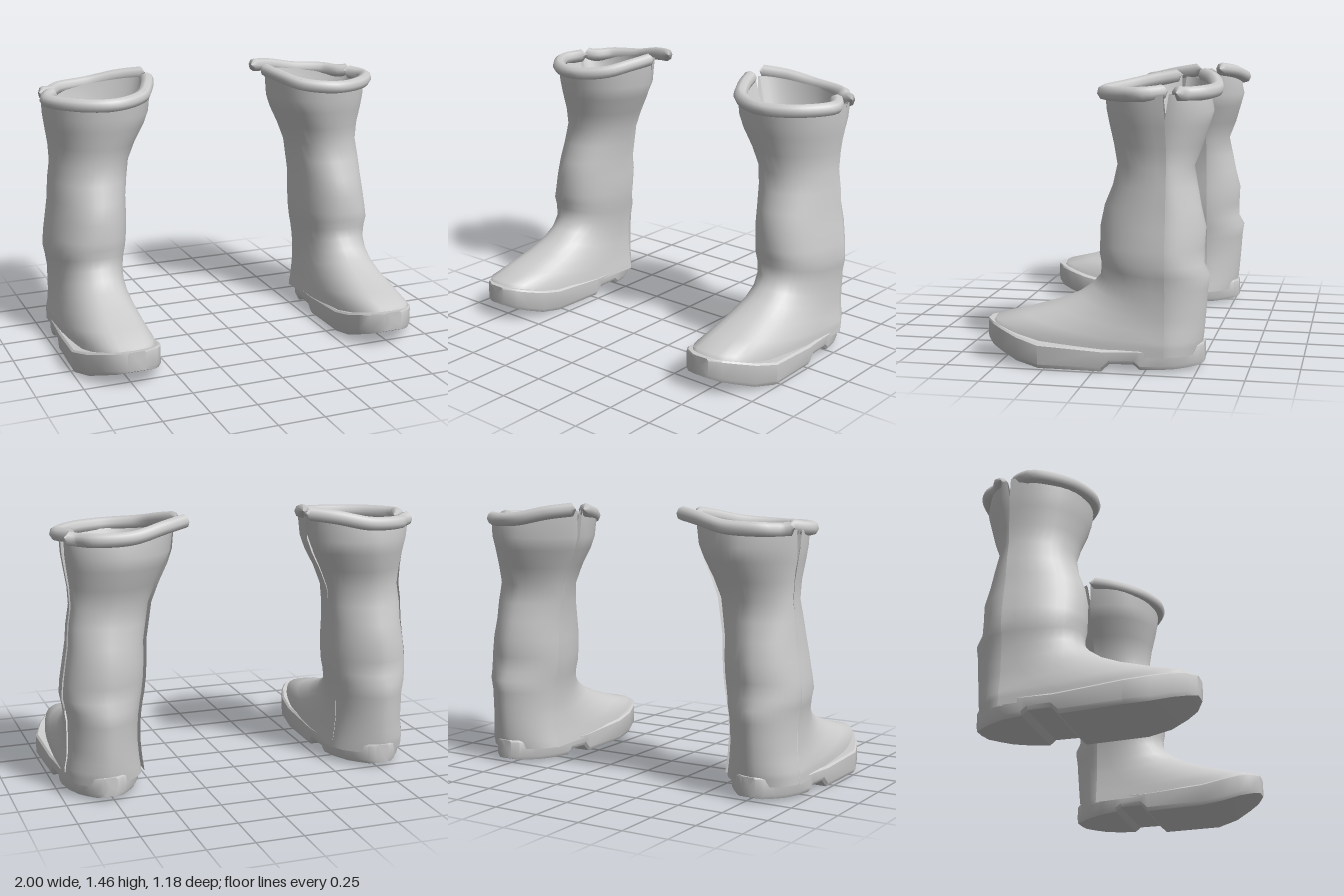
import * as THREE from 'three';
import { toCreasedNormals } from 'three/addons/utils/BufferGeometryUtils.js';

const leather = new THREE.MeshStandardMaterial({ color: 0xcccccc, side: THREE.DoubleSide });
leather.name = 'light grey leather';

// Upper, bottom to top: [y at back, y at front, z front, z back, x inner, x outer, squareness of front]
const UPPER = [
  [0.08, 0.165, 0.57, -0.505, 0.55, 0.965, 3.2],
  [0.12, 0.215, 0.55, -0.515, 0.555, 0.965, 3.2],
  [0.15, 0.25, 0.4, -0.52, 0.56, 0.965, 3.1],
  [0.2, 0.3, 0.24, -0.525, 0.565, 0.955, 2.8],
  [0.26, 0.35, 0.12, -0.53, 0.57, 0.95, 2.5],
  [0.32, 0.4, 0.05, -0.535, 0.57, 0.95, 2.3],
  [0.4, 0.45, 0.005, -0.54, 0.565, 0.95, 2.3],
  [0.47, 0.51, 0, -0.55, 0.555, 0.96, 2.3],
  [0.52, 0.56, 0.01, -0.52, 0.545, 0.97, 2.3],
  [0.6, 0.6, 0.01, -0.52, 0.535, 0.965, 2.2],
  [0.7, 0.7, 0.01, -0.525, 0.53, 0.95, 2.1],
  [0.8, 0.8, -0.01, -0.5, 0.53, 0.935, 2.1],
  [0.9, 0.9, -0.05, -0.48, 0.515, 0.93, 2.1],
  [1, 1, -0.07, -0.46, 0.5, 0.915, 2.1],
  [1.1, 1.1, -0.05, -0.5, 0.46, 0.92, 2.1],
  [1.2, 1.2, -0.025, -0.53, 0.41, 0.935, 2.2],
  [1.27, 1.27, -0.01, -0.55, 0.385, 0.945, 2.2],
  [1.36, 1.36, 0, -0.53, 0.37, 0.95, 2.2],
];

// Lining: the shaft rows drawn inwards, meeting the upper at the top
const LINING = UPPER.slice(5).map(([yb, yf, zf, zb, xi, xo, nf]) => {
  const inset = yb > 1.3 ? 0.012 : 0.04;
  return [yb, yf, zf - inset, zb + inset, xi + inset, xo - inset, nf];
});

// Sole, heel to toe: [z, x inner, x outer, y top, y bottom]
const SOLE = [
  [-0.525, 0.735, 0.81, 0.13, 0.03], [-0.5, 0.695, 0.848, 0.13, 0.02],
  [-0.45, 0.65, 0.89, 0.13, 0.017], [-0.4, 0.61, 0.925, 0.125, 0.015],
  [-0.32, 0.57, 0.96, 0.12, 0.015], [-0.23, 0.545, 0.975, 0.115, 0.015],
  [-0.2, 0.545, 0.975, 0.115, 0.04], [-0.08, 0.54, 0.98, 0.11, 0.04],
  [-0.04, 0.54, 0.985, 0.11, 0], [0.28, 0.54, 0.998, 0.13, 0.005],
  [0.4, 0.55, 0.955, 0.155, 0.025], [0.49, 0.58, 0.9, 0.18, 0.055],
  [0.55, 0.62, 0.85, 0.195, 0.075], [0.59, 0.69, 0.79, 0.2, 0.095],
];

// Rolled cuff, in two pieces with a slit at each side
const CUFFS = {
  frontCuff: [[0.35, 1.425, -0.345], [0.4, 1.4, -0.2], [0.48, 1.37, -0.07], [0.65, 1.355, 0.005],
    [0.83, 1.355, -0.06], [0.95, 1.36, -0.22], [0.93, 1.365, -0.29], [0.88, 1.375, -0.35]],
  backCuff: [[0.325, 1.43, -0.445], [0.47, 1.41, -0.515], [0.64, 1.375, -0.555],
    [0.82, 1.365, -0.515], [0.89, 1.36, -0.43], [0.95, 1.37, -0.4]],
};

// Surface through rows of points; side -1 mirrors it in x
function loft(rows, side) {
  const pos = rows.flat().flatMap(([x, y, z]) => [side * x, y, z]);
  const n = rows[0].length, index = [];
  for (let r = 0; r < rows.length - 1; r++) {
    for (let c = 0; c < n - 1; c++) {
      const a = r * n + c, b = a + 1, d = a + n, e = d + 1;
      if (side > 0) index.push(a, b, d, b, e, d);
      else index.push(a, d, b, b, d, e);
    }
  }
  const geo = new THREE.BufferGeometry();
  geo.setAttribute('position', new THREE.Float32BufferAttribute(pos, 3));
  geo.setIndex(index);
  geo.computeVertexNormals();
  return geo;
}

// One row of the front (dir 1) or back (dir -1) panel, from seam to seam
function panelRow([yb, yf, zf, zb, xi, xo, nf], dir, isTop) {
  const front = dir > 0, steps = 20, row = [];
  const slit = Math.max(0, yb - 1.15);
  const zs = front ? -0.35 + slit * 0.05 : -0.33 - slit * 0.17;
  const flare = front ? 0.008 : -0.004;
  const power = 2 / (front ? nf : 1.75);
  const lean = front ? -0.01 : 0.02;
  const mid = (xi + xo) / 2, half = (xo - xi) / 2 + flare;
  const reach = (front ? zf : zb) - zs;
  for (let i = 0; i <= steps; i++) {
    const a = (i / steps) * Math.PI, c = Math.cos(a);
    const t = Math.max(0, Math.sin(a)) ** power;
    const x = mid - dir * half * Math.sign(c) * Math.abs(c) ** power + lean * t;
    const rise = front ? (yf - yb) * t * t : 0;
    const lift = isTop ? 0.06 * Math.max(0, (xo - x) / (xo - xi)) ** 2 : 0;
    row.push([x, yb + rise + lift, zs + reach * t]);
  }
  return row;
}

function soleGeometry(side) {
  const ring = ([z, xi, xo, top, bot]) => [
    [xi + 0.012, bot, z], [xo - 0.012, bot, z], [xo, bot + 0.02, z],
    [xo, top - 0.01, z], [xo - 0.01, top, z], [xi + 0.01, top, z],
    [xi, top - 0.01, z], [xi, bot + 0.02, z], [xi + 0.012, bot, z],
  ];
  const rows = SOLE.map(ring);
  // Close heel and toe ends
  const centre = ([z, xi, xo, top, bot]) => Array(9).fill([(xi + xo) / 2, (top + bot) / 2, z]);
  rows.unshift(centre(SOLE[0]));
  rows.push(centre(SOLE[SOLE.length - 1]));
  return toCreasedNormals(loft(rows, side), 0.65);
}

function cuffGeometry(points, side) {
  const path = new THREE.CatmullRomCurve3(points.map(([x, y, z]) => new THREE.Vector3(side * x, y, z)));
  const steps = 32, sides = 8;
  const geo = new THREE.TubeGeometry(path, steps, 0.037, sides);
  // Pinch both ends to a point
  for (const end of [0, 1]) {
    const p = path.getPointAt(end);
    for (let j = 0; j <= sides; j++) {
      geo.attributes.position.setXYZ(end * steps * (sides + 1) + j, p.x, p.y, p.z);
    }
  }
  return geo;
}

function createBoot(name, side) {
  const boot = new THREE.Group();
  boot.name = name;
  const add = (part, geo) => {
    const mesh = new THREE.Mesh(geo, leather);
    mesh.name = part;
    boot.add(mesh);
  };
  const panel = (table, dir) => loft(table.map((r, i) => panelRow(r, dir, i === table.length - 1)), side);
  add('frontPanel', panel(UPPER, 1));
  add('backPanel', panel(UPPER, -1));
  add('frontLining', panel(LINING, 1));
  add('backLining', panel(LINING, -1));
  add('sole', soleGeometry(side));
  for (const [part, points] of Object.entries(CUFFS)) add(part, cuffGeometry(points, side));
  return boot;
}

export function createModel() {
  const model = new THREE.Group();
  model.name = 'pairOfBoots';
  model.add(createBoot('leftBoot', 1), createBoot('rightBoot', -1));
  return model;
}
